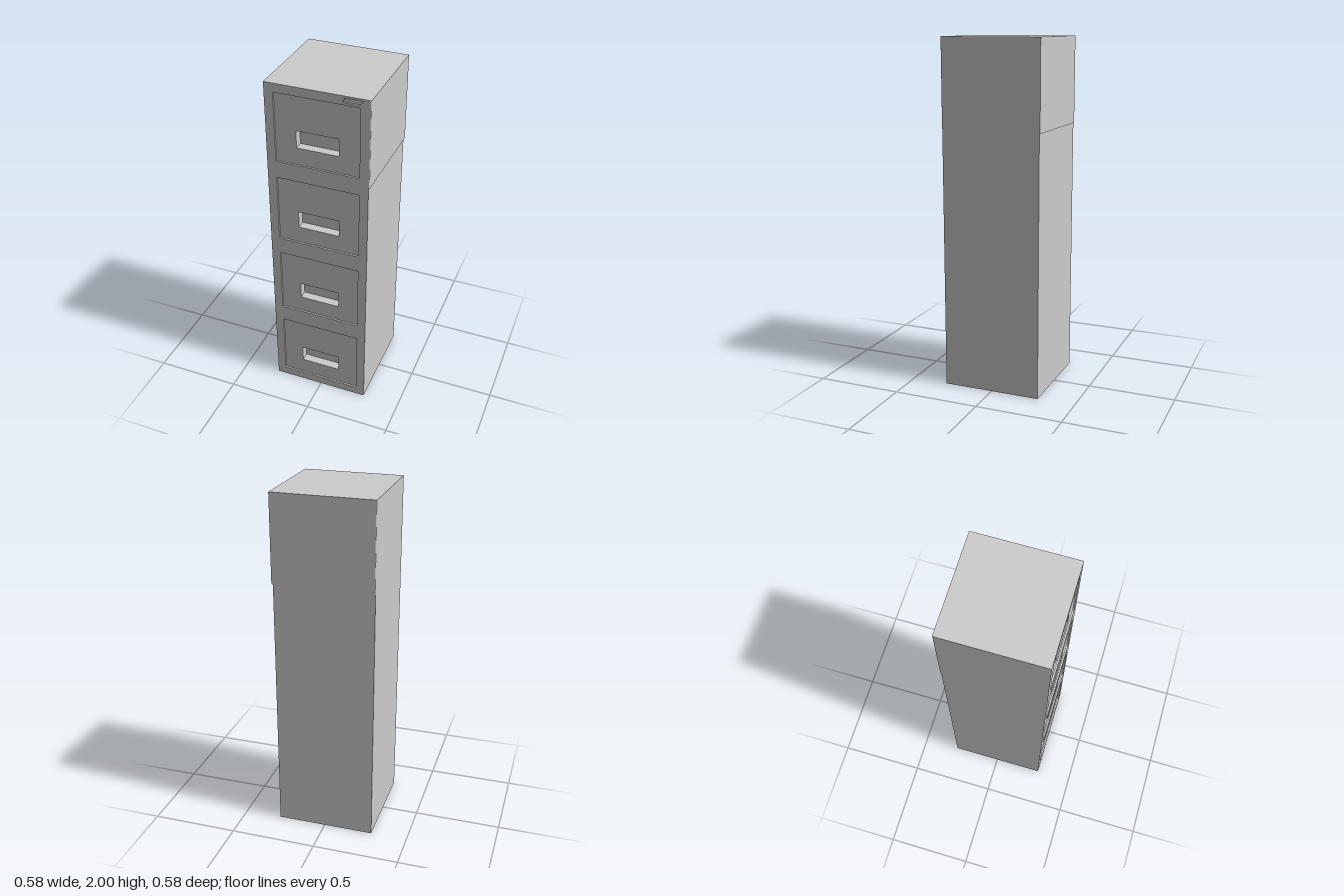
import * as THREE from 'three';

const H = 2, R = 0.288, T = 0.006;       // height, outer half width, cladding thickness
const MID = -T / 2;                      // body centre in x
const W = 2 * R - T;                     // body width and depth
const FRAME = 0.01, POCKET = 0.05;       // drawer recess and handle pocket depths

const material = new THREE.MeshStandardMaterial({ color: 0xcccccc });

function outline(points, Type = THREE.Path) {
  return new Type(points.map(([x, y]) => new THREE.Vector2(x, y)));
}

function rect(cx, cy, w, h, Type = THREE.Path) {
  const x = w / 2, y = h / 2;
  return outline([[cx - x, cy - y], [cx + x, cy - y], [cx + x, cy + y], [cx - x, cy + y]], Type);
}

// Upright plate filling the outline from zFront back by depth
function plate(name, holes, depth, zFront) {
  const shape = rect(MID, H / 2, W, H, THREE.Shape);
  shape.holes.push(...holes);
  const geometry = new THREE.ExtrudeGeometry(shape, { depth, bevelEnabled: false });
  const mesh = new THREE.Mesh(geometry, material);
  mesh.name = name;
  mesh.position.z = zFront - depth;
  return mesh;
}

export function createModel() {
  const group = new THREE.Group();
  group.name = 'filingCabinet';

  // Front frame with four drawer openings and a slanted lock slot
  const drawerHoles = [], handleHoles = [];
  for (let i = 0; i < 4; i++) {
    const y = i * 0.5;
    drawerHoles.push(rect(MID, y + 0.25, 0.47, 0.4));
    handleHoles.push(rect(MID, y + 0.2, 0.235, 0.1));
  }
  const lockSlot = outline([[0.135, 1.963], [0.226, 1.963], [0.246, 1.988], [0.15, 1.988]]);
  group.add(plate('frontFrame', [...drawerHoles, lockSlot], FRAME, R));

  // Drawer fronts with handle pockets
  group.add(plate('drawerFronts', handleHoles, POCKET, R - FRAME));

  // Solid body behind the drawer fronts
  const bodyDepth = W - FRAME - POCKET;
  const body = new THREE.Mesh(new THREE.BoxGeometry(W, H, bodyDepth), material);
  body.name = 'body';
  body.position.set(MID, H / 2, -R + T + bodyDepth / 2);
  group.add(body);

  // Thin cladding wrapping the left side and back of the top quarter
  const wrap = new THREE.Shape();
  wrap.moveTo(R - T, -R);
  wrap.quadraticCurveTo(R, -R, R, -R + T);
  wrap.lineTo(R, R);
  wrap.lineTo(-R + T, R);
  wrap.quadraticCurveTo(-R, R, -R, R - T);
  wrap.lineTo(R - T, R - T);
  wrap.closePath();
  const wrapGeometry = new THREE.ExtrudeGeometry(wrap, { depth: 0.5, bevelEnabled: false, curveSegments: 4 });
  wrapGeometry.rotateX(-Math.PI / 2);
  const cladding = new THREE.Mesh(wrapGeometry, material);
  cladding.name = 'upperCladding';
  cladding.position.y = 1.5;
  group.add(cladding);

  return group;
}
